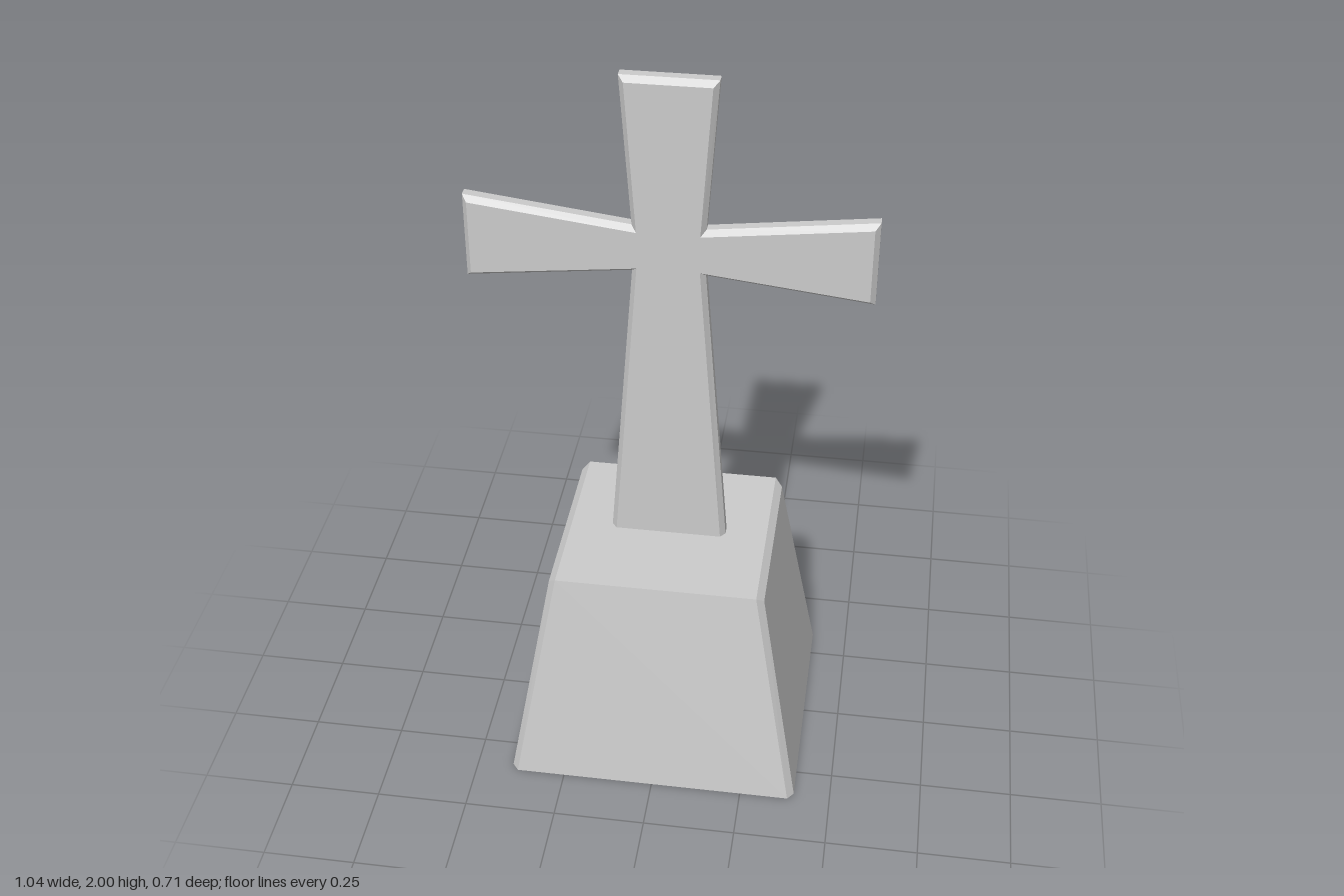
import * as THREE from 'three';
import { ConvexGeometry } from 'three/addons/geometries/ConvexGeometry.js';

const material = new THREE.MeshStandardMaterial({ color: 0xcccccc, flatShading: true });

// Tapered plinth with chamfered corners and chamfered upper side edges
function createPlinth() {
  const corner = [
    [0.383, 0, 0.354], [0.4, 0, 0.333],
    [0.27, 0.645, 0.267], [0.29, 0.627, 0.25],
  ];
  const points = [];
  for (const sx of [-1, 1]) {
    for (const sz of [-1, 1]) {
      for (const [x, y, z] of corner) points.push(new THREE.Vector3(x * sx, y, z * sz));
    }
  }
  const plinth = new THREE.Mesh(new ConvexGeometry(points), material);
  plinth.name = 'plinth';
  return plinth;
}

// Flared cross with a bevelled rim; its foot is sunk into the plinth
function createCross() {
  const half = [
    [0.145, 0.63], [0.08, 1.482], [0.506, 1.434],
    [0.506, 1.636], [0.08, 1.584], [0.107, 1.986],
  ];
  const mirrored = half.map(([x, y]) => [-x, y]).reverse();
  const outline = [...half, ...mirrored].map(([x, y]) => new THREE.Vector2(x, y));
  const depth = 0.025;
  const geometry = new THREE.ExtrudeGeometry(new THREE.Shape(outline), {
    depth,
    bevelEnabled: true,
    bevelSegments: 1,
    bevelThickness: 0.0165,
    bevelSize: 0.014,
  });
  geometry.translate(0, 0, -depth / 2 - 0.008);
  const cross = new THREE.Mesh(geometry, material);
  cross.name = 'cross';
  return cross;
}

export function createModel() {
  const model = new THREE.Group();
  model.name = 'graveCross';
  model.add(createPlinth(), createCross());
  return model;
}
